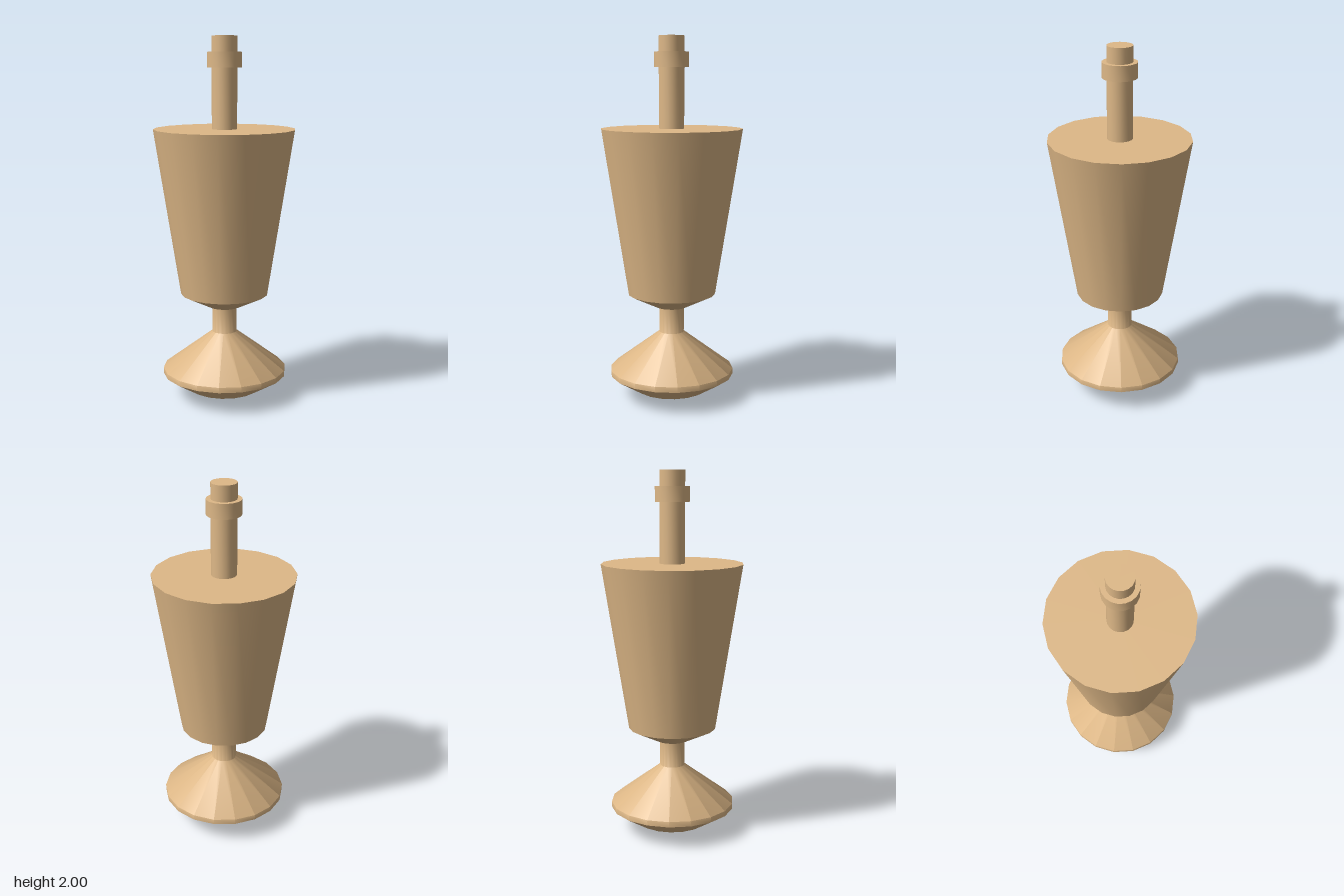
import * as THREE from 'three';
import { toCreasedNormals } from 'three/addons/utils/BufferGeometryUtils.js';

const SIDES = 18;
const CREASE = 0.94;

export function createModel() {
  const group = new THREE.Group();
  const wood = new THREE.MeshStandardMaterial({ color: 0xdeb887 });

  // Turned part from a [radius, height] profile, listed bottom to top
  function turned(name, profile) {
    const points = profile.map(([r, y]) => new THREE.Vector2(r, y));
    const lathe = new THREE.LatheGeometry(points, SIDES, Math.PI / 36);
    const mesh = new THREE.Mesh(toCreasedNormals(lathe, CREASE), wood);
    mesh.name = name;
    group.add(mesh);
  }

  // Flared foot with a shallow rounded underside, rising into the lower stem
  turned('foot', [
    [0, 0], [0.2, 0.04], [0.345, 0.13], [0.345, 0.16],
    [0.069, 0.37], [0.069, 0.53],
  ]);

  // Tapered body with a conical underside and flat top
  turned('body', [
    [0, 0.515], [0.09, 0.515], [0.243, 0.59], [0.387, 1.505], [0, 1.505],
  ]);

  // Upper spindle and its collar
  turned('spindle', [[0.069, 1.49], [0.069, 2], [0, 2]]);
  turned('collar', [
    [0.06, 1.833], [0.094, 1.833], [0.094, 1.915], [0.06, 1.915],
  ]);

  return group;
}
